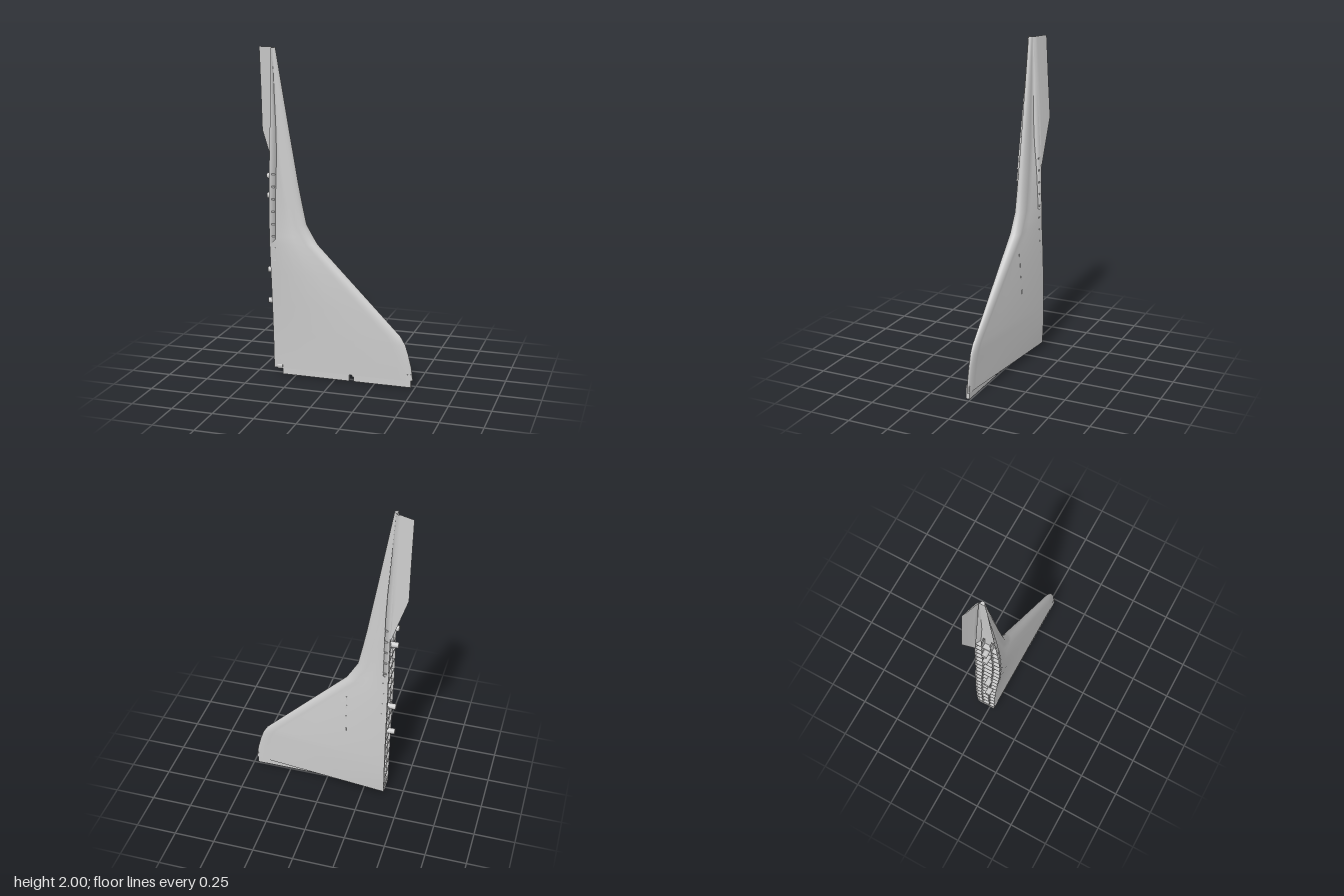
import * as THREE from 'three';

const mat = new THREE.MeshStandardMaterial({ color: 0xcccccc, side: THREE.DoubleSide });

// Span stations: y, leading edge x, trailing edge front z, trailing edge back z, nose centre z, nose half thickness
const STATIONS = [
  [0.04, 0.485, 0.034, -0.083, 0.016, 0.016],
  [0.12, 0.475, 0.037, -0.088, 0.017, 0.017],
  [0.20, 0.455, 0.040, -0.090, 0.017, 0.018],
  [0.26, 0.435, 0.043, -0.090, 0.016, 0.020],
  [0.31, 0.405, 0.046, -0.090, 0.015, 0.021],
  [0.45, 0.265, 0.055, -0.088, 0.012, 0.025],
  [0.65, 0.065, 0.073, -0.082, 0.008, 0.032],
  [0.83, -0.115, 0.090, -0.074, 0.004, 0.038],
  [0.88, -0.145, 0.092, -0.073, 0.004, 0.038],
  [0.95, -0.185, 0.094, -0.071, 0.004, 0.037],
  [1.08, -0.212, 0.094, -0.068, 0.005, 0.035],
  [1.20, -0.235, 0.090, -0.065, 0.006, 0.033],
  [1.35, -0.260, 0.078, -0.056, 0.007, 0.029],
  [1.50, -0.286, 0.066, -0.046, 0.008, 0.025],
  [1.75, -0.328, 0.047, -0.031, 0.009, 0.019],
  [2.00, -0.370, 0.030, -0.016, 0.010, 0.013],
];
const TE = -0.39;

function stationAt(y) {
  let i = 0;
  while (i < STATIONS.length - 2 && y > STATIONS[i + 1][0]) i++;
  const a = STATIONS[i], b = STATIONS[i + 1];
  const t = (y - a[0]) / (b[0] - a[0]);
  return a.map((v, k) => v + (b[k] - v) * t);
}

const noseLength = (le) => Math.min(0.08, (le - TE) * 0.6);

// Cross-section from the front trailing edge round the nose to the back one
function section([y, le, zf, zb, nz, nh]) {
  const L = noseLength(le), x0 = le - L, pts = [];
  for (let i = 0; i < 5; i++) {
    const t = i / 5;
    pts.push([TE + (x0 - TE) * t, y, zf + (nz + nh - zf) * t]);
  }
  for (let i = 0; i <= 12; i++) {
    const a = Math.PI / 2 - (Math.PI * i) / 12;
    pts.push([x0 + L * Math.cos(a), y, nz + nh * Math.sin(a)]);
  }
  for (let i = 1; i <= 5; i++) {
    const t = i / 5;
    pts.push([x0 + (TE - x0) * t, y, nz - nh + (zb - nz + nh) * t]);
  }
  return pts;
}

// Surface through rows of equal point counts
function loft(rows) {
  const n = rows[0].length, index = [];
  for (let i = 0; i < rows.length - 1; i++) {
    for (let j = 0; j < n - 1; j++) {
      const a = i * n + j, b = a + 1, c = a + n, d = c + 1;
      index.push(a, b, d, a, d, c);
    }
  }
  const g = new THREE.BufferGeometry();
  g.setAttribute('position', new THREE.Float32BufferAttribute(rows.flat(2), 3));
  g.setIndex(index);
  g.computeVertexNormals();
  return g;
}

// Flat end cap: pairs front and back points of one section
function endCap(station, up) {
  const s = section(station), h = Math.floor(s.length / 2);
  const front = s.slice(0, h + 1), back = s.slice(h).reverse();
  return loft(up ? [front, back] : [back, front]);
}

export function createModel() {
  const model = new THREE.Group();
  const add = (parent, name, geometry, x = 0, y = 0, z = 0) => {
    const mesh = new THREE.Mesh(geometry, mat);
    mesh.name = name;
    mesh.position.set(x, y, z);
    parent.add(mesh);
    return mesh;
  };
  const group = (name) => {
    const g = new THREE.Group();
    g.name = name;
    model.add(g);
    return g;
  };

  // Outer skin and its ends
  add(model, 'finSkin', loft(STATIONS.map(section)));
  add(model, 'tipCap', endCap(STATIONS[STATIONS.length - 1], true));
  add(model, 'rootCap', endCap(STATIONS[0], false));

  // Hollow cove behind the trailing edge
  const cove = (s) => {
    const d = Math.min(0.035, (s[1] - TE) * 0.3), [y, , zf, zb] = s;
    return [[TE, y, zb], [TE + d, y, zb + 0.01], [TE + d, y, zf - 0.01], [TE, y, zf]];
  };
  add(model, 'trailingCove', loft(STATIONS.map(cove)));

  // Ribs and stringers inside the cove
  const ribs = group('coveRibs');
  for (let i = 0; i < 17; i++) {
    const s = stationAt(0.06 + i * 0.075);
    add(ribs, 'rib', new THREE.BoxGeometry(0.031, 0.009, s[2] - s[3] - 0.008),
      TE + 0.019, s[0], (s[2] + s[3]) / 2);
  }
  for (const f of [0.3, 0.7]) {
    const rows = STATIONS.filter((s) => s[0] <= 1.36).map((s) => {
      const z = s[3] + (s[2] - s[3]) * f;
      return [[TE + 0.035, s[0], z + 0.004], [TE + 0.006, s[0], z + 0.004],
        [TE + 0.006, s[0], z - 0.004], [TE + 0.035, s[0], z - 0.004]];
    });
    add(ribs, 'stringer', loft(rows));
  }

  // Thin panel that carries the back skin past the trailing edge
  const flapRows = [[1.20, 0.003], [1.25, 0.019], [1.35, 0.051], [1.50, 0.1], [1.75, 0.1], [2.0, 0.102]].map(([y, w]) => {
    const zb = stationAt(y)[3], outer = [], inner = [];
    for (let i = 0; i <= 5; i++) {
      const t = i / 5, x = TE - w * t, z = zb - w * (0.36 * t - 0.04 * t * t);
      outer.unshift([x, y, z]);
      inner.push([x, y, z + 0.006 * (1 - t) + 0.002]);
    }
    return [...inner.reverse(), ...outer.reverse()];
  });
  add(model, 'upperFlap', loft(flapRows));

  // Hinge pins on the trailing edge
  const pins = group('hingePins');
  for (const y of [0.465, 0.66, 1.12, 1.24]) {
    const pin = new THREE.CylinderGeometry(0.018, 0.018, 0.07, 16).rotateZ(Math.PI / 2);
    add(pins, 'pin', pin, -0.39, y, 0.016);
  }

  // Mounting tabs under the root, with a notch between them
  const tabs = group('rootTabs');
  for (const [x0, x1] of [[-0.335, 0.09], [0.12, 0.475]]) {
    add(tabs, 'tab', new THREE.BoxGeometry(x1 - x0, 0.08, 0.024), (x0 + x1) / 2, 0.04, 0.018);
  }
  add(tabs, 'notchBlock', new THREE.BoxGeometry(0.012, 0.045, 0.02), 0.114, 0.05, 0.02);

  // Pivot at the rear of the root
  const pivot = new THREE.CylinderGeometry(0.024, 0.024, 0.035, 16).rotateZ(Math.PI / 2);
  add(model, 'rootPivot', pivot, -0.352, 0.052, 0.014);

  // Small slots along the back skin
  const slots = group('backSlots');
  for (const y of [0.47, 0.56, 0.64, 0.7]) {
    const [, le, , zb, nz, nh] = stationAt(y);
    const x = -0.13, t = (x - TE) / (le - noseLength(le) - TE);
    add(slots, 'slot', new THREE.BoxGeometry(0.008, 0.026, 0.004), x, y, zb + (nz - nh - zb) * t);
  }
  return model;
}
